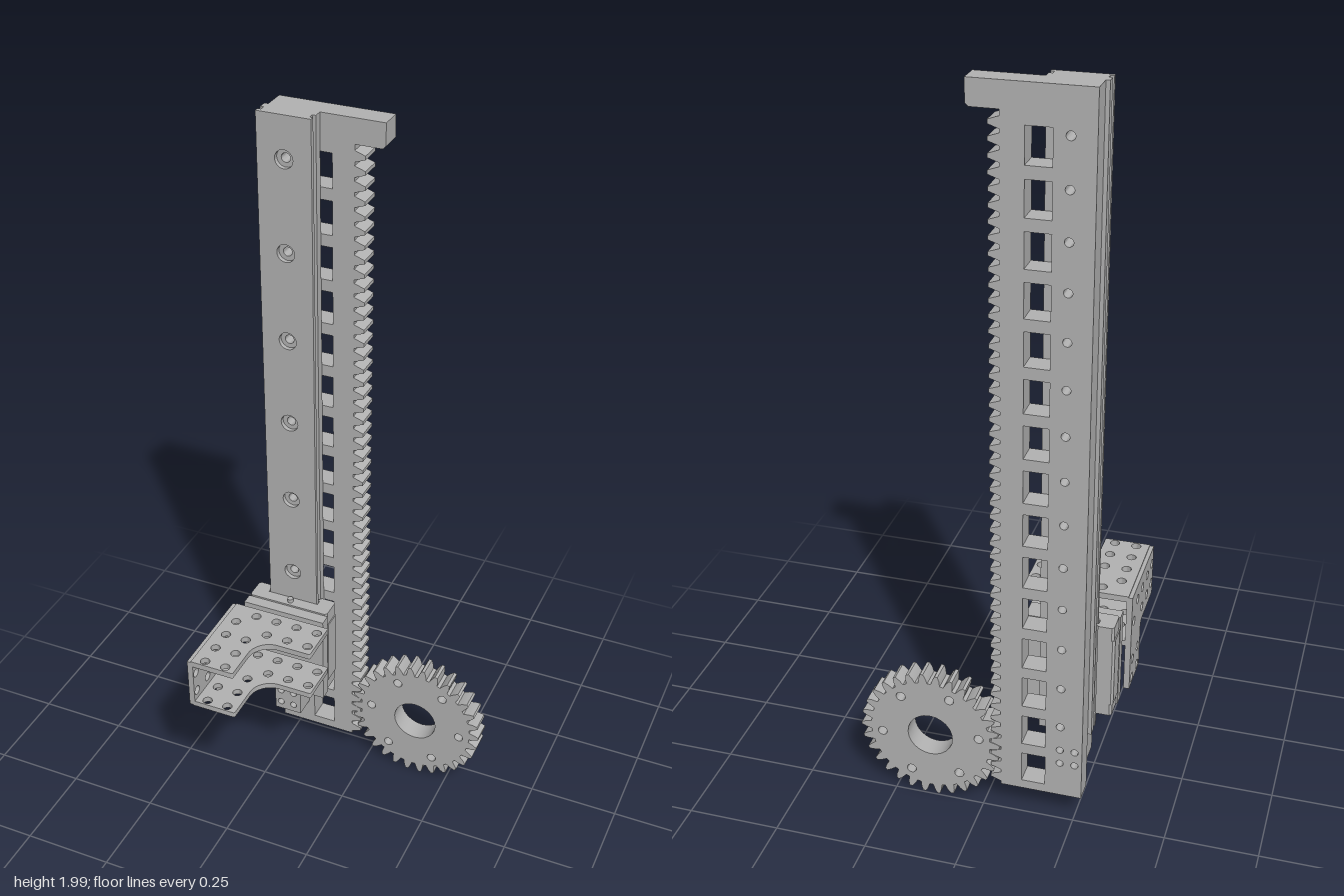
import * as THREE from 'three';
import { toCreasedNormals } from 'three/addons/utils/BufferGeometryUtils.js';

const steel = new THREE.MeshStandardMaterial({ color: 0xb2b2b2 });
steel.name = 'grey steel';

const MODULE = 0.0122, TEETH = 30, PITCH = Math.PI * MODULE;
const GEAR = { x: 0.15, y: 0.2 };
const Z_BACK = -0.245, Z_FACE = -0.185;

function polygon(points) {
  return new THREE.Shape(points.map(([x, y]) => new THREE.Vector2(x, y)));
}

function drill(shape, x, y, r) {
  const hole = new THREE.Path();
  hole.absarc(x, y, r, 0, Math.PI * 2, true);
  shape.holes.push(hole);
}

function rect(x0, y0, x1, y1) {
  return polygon([[x0, y0], [x1, y0], [x1, y1], [x0, y1]]);
}

function extrude(shape, depth) {
  const geo = new THREE.ExtrudeGeometry(shape, { depth, bevelEnabled: false, curveSegments: 12 });
  return toCreasedNormals(geo, 0.6);
}

function add(group, name, geometry) {
  const mesh = new THREE.Mesh(geometry, steel);
  mesh.name = name;
  group.add(mesh);
  return mesh;
}

// Plate facing the front, between two depths
function frontPlate(group, name, shape, z0, z1) {
  return add(group, name, extrude(shape, z1 - z0).translate(0, 0, z0));
}

// Section drawn as (x, -z), extruded upwards between two heights
function upright(group, name, shape, y0, y1) {
  return add(group, name, extrude(shape, y1 - y0).rotateX(-Math.PI / 2).translate(0, y0, 0));
}

function makeRack() {
  const group = new THREE.Group();
  group.name = 'rack';
  const pitchX = GEAR.x - MODULE * TEETH / 2;
  const root = pitchX - 1.25 * MODULE, tip = pitchX + MODULE;
  const pts = [[-0.27, 0.08], [root, 0.08]];
  for (let k = -3; ; k++) {
    const y = GEAR.y + (k + 0.5) * PITCH;
    if (y > 1.92) break;
    pts.push([root, y - PITCH * 0.38], [tip, y - PITCH * 0.13],
      [tip, y + PITCH * 0.13], [root, y + PITCH * 0.38]);
  }
  // hooked top end
  pts.push([root, 1.935], [0.022, 1.935], [0.03, 1.943], [0.03, 2], [-0.27, 2]);
  const shape = polygon(pts);
  // lightening windows with a screw hole beside each
  for (let i = 0; i < 15; i++) {
    const y = 0.151 + i * 0.122;
    shape.holes.push(rect(-0.17, y - 0.045, -0.106, y + 0.045));
    if (i > 0) drill(shape, -0.21, y + 0.03, 0.011);
  }
  for (const x of [-0.25, -0.21]) for (const y of [0.185, 0.228]) drill(shape, x, y, 0.01);
  frontPlate(group, 'toothedBar', shape, Z_BACK, Z_FACE);

  // end stop block
  const block = rect(-0.268, 0.16, -0.187, 0.25);
  for (const x of [-0.25, -0.21]) for (const y of [0.185, 0.228]) drill(block, x, y, 0.01);
  frontPlate(group, 'endStop', block, Z_FACE, -0.122);
  return group;
}

function makeRail() {
  const group = new THREE.Group();
  group.name = 'linearRail';
  const holes = [];
  for (let i = 0; i < 7; i++) holes.push(0.428 + i * 0.2437);
  // three layers: base, waist with the ball grooves, counterbored head
  const layers = [
    ['railBase', -0.28, -0.137, -0.185, -0.162, 0.012],
    ['railWaist', -0.271, -0.146, -0.162, -0.147, 0.012],
    ['railHead', -0.28, -0.137, -0.147, -0.135, 0.024],
  ];
  for (const [name, x0, x1, z0, z1, r] of layers) {
    const shape = rect(x0, 0.25, x1, 2);
    for (const y of holes) drill(shape, -0.209, y, r);
    frontPlate(group, name, shape, z0, z1);
  }
  return group;
}

function makeCarriage() {
  const group = new THREE.Group();
  group.name = 'carriage';
  const cx = -0.209;
  // U section wrapped round the rail, mirrored about its centre
  const section = (w) => {
    const half = [[w - 0.006, 0.1], [w, 0.106], [w, 0.157], [w - 0.006, 0.163], [0.075, 0.163],
      [0.075, 0.159], [0.066, 0.154], [0.075, 0.148], [0.075, 0.133]];
    const left = half.map(([x, y]) => [-x, y]).reverse();
    return polygon([...half, ...left].map(([x, y]) => [cx + x, y]));
  };
  upright(group, 'carriageBody', section(0.121), 0.34, 0.54);
  upright(group, 'lowerEndCap', section(0.118), 0.305, 0.34);
  upright(group, 'upperEndCap', section(0.118), 0.54, 0.58);
  const nipple = add(group, 'greaseNipple', new THREE.CylinderGeometry(0.008, 0.008, 0.012, 16));
  nipple.position.set(cx, 0.585, -0.116);

  // mounting plate with four screw holes
  const plate = rect(-0.33, 0.3, -0.088, 0.575);
  for (const x of [-0.294, -0.125]) for (const y of [0.395, 0.487]) drill(plate, x, y, 0.01);
  frontPlate(group, 'mountingPlate', plate, -0.1, -0.068);
  return group;
}

function makeBracket() {
  const group = new THREE.Group();
  group.name = 'bracket';
  const R = 0.013;
  // L-shaped flange in (x, -z)
  const flange = new THREE.Shape();
  flange.moveTo(-0.335, 0.03);
  flange.lineTo(-0.335, -0.243);
  flange.lineTo(-0.216, -0.243);
  flange.quadraticCurveTo(-0.21, -0.243, -0.21, -0.237);
  flange.lineTo(-0.21, -0.15);
  flange.absarc(-0.15, -0.15, 0.06, Math.PI, Math.PI / 2, true);
  flange.lineTo(-0.061, -0.09);
  flange.quadraticCurveTo(-0.055, -0.09, -0.055, -0.084);
  flange.lineTo(-0.055, 0.024);
  flange.quadraticCurveTo(-0.055, 0.03, -0.061, 0.03);
  for (const x of [-0.258, -0.197, -0.136, -0.075]) drill(flange, x, 0, R);
  for (const x of [-0.197, -0.136, -0.075]) drill(flange, x, -0.061, R);
  for (const z of [0.042, 0.103, 0.165, 0.226]) drill(flange, -0.3, -z, R);
  for (const z of [0.103, 0.165, 0.226]) drill(flange, -0.24, -z, R);
  upright(group, 'upperFlange', flange, 0.578, 0.595);
  upright(group, 'lowerFlange', flange, 0.44, 0.456);

  // side wall in (-z, y), turned to face sideways
  const wall = new THREE.Shape();
  wall.moveTo(0.03, 0.302);
  wall.lineTo(0.03, 0.592);
  wall.lineTo(-0.243, 0.592);
  wall.lineTo(-0.243, 0.442);
  wall.lineTo(-0.115, 0.442);
  wall.quadraticCurveTo(-0.093, 0.442, -0.093, 0.42);
  wall.lineTo(-0.093, 0.302);
  for (const z of [0.042, 0.103, 0.165, 0.226]) drill(wall, -z, 0.545, R);
  for (const z of [0.103, 0.165, 0.226]) drill(wall, -z, 0.483, R);
  drill(wall, 0, 0.503, R);
  for (const z of [0, 0.062]) for (const y of [0.321, 0.381]) drill(wall, -z, y, R);
  add(group, 'sideWall', extrude(wall, 0.016).rotateY(Math.PI / 2).translate(-0.346, 0, 0));
  return group;
}

function makeGear() {
  const pitchR = MODULE * TEETH / 2, root = pitchR - 1.25 * MODULE, tip = pitchR + MODULE;
  // half tooth angles in degrees at root, pitch and tip radius
  const flank = [[root, 4.3], [pitchR, 2.9], [tip, 1.2]];
  const tooth = [...flank.map(([r, a]) => [r, -a]), ...flank.map(([r, a]) => [r, a]).reverse()];
  const pts = [];
  for (let i = 0; i < TEETH; i++) {
    for (const [r, a] of tooth) {
      const t = THREE.MathUtils.degToRad(i * 360 / TEETH + a);
      pts.push([r * Math.cos(t), r * Math.sin(t)]);
    }
  }
  const shape = polygon(pts);
  drill(shape, 0, 0, 0.063);
  for (let i = 0; i < 6; i++) {
    const t = THREE.MathUtils.degToRad(i * 60 - 6);
    drill(shape, 0.137 * Math.cos(t), 0.137 * Math.sin(t), 0.013);
  }
  const group = new THREE.Group();
  group.name = 'pinion';
  frontPlate(group, 'pinionGear', shape, Z_BACK, Z_FACE);
  group.position.set(GEAR.x, GEAR.y, 0);
  return group;
}

export function createModel() {
  const model = new THREE.Group();
  model.name = 'rackAndPinionSlide';
  model.add(makeRack(), makeRail(), makeCarriage(), makeBracket(), makeGear());
  return model;
}
